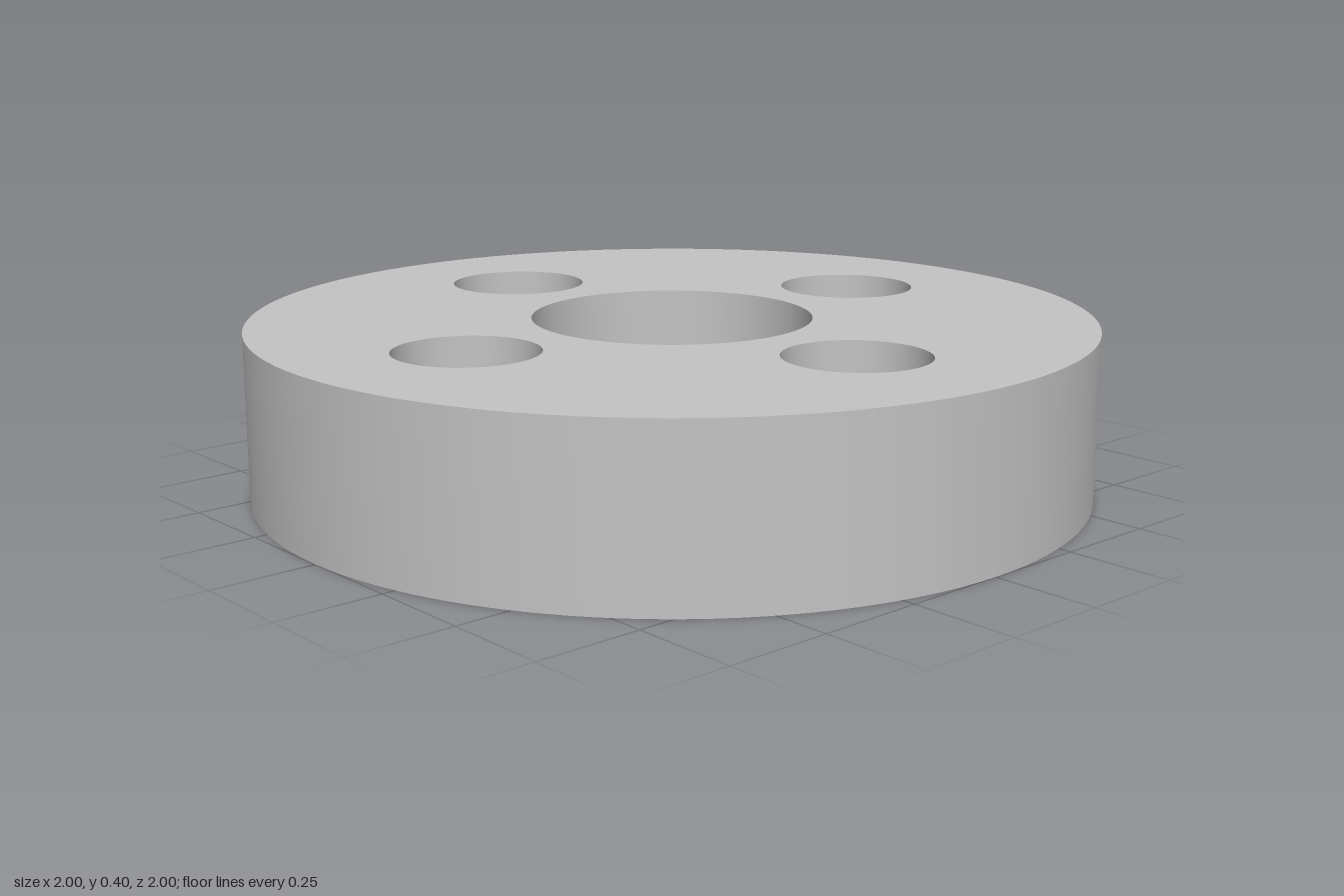
import * as THREE from 'three';

const R = 1, H = 0.4, BORE = 1 / 3;           // disc and centre bore
const PITCH = 0.6, HOLE = 1 / 6, SINK = 0.3;  // bolt holes and their 45 degree countersinks

// Points on an arc in the ground plane, Vector2 = (x, z)
function arc(r, from, to, n, cx = 0) {
  return Array.from({ length: n + 1 }, (_, i) => {
    const a = from + ((to - from) * i) / n;
    return new THREE.Vector2(cx + r * Math.cos(a), r * Math.sin(a));
  });
}
const circle = (r, n, cx = 0) => arc(r, 0, Math.PI * 2, n, cx).slice(0, -1);
const turn = (pts, k) => pts.map((p) => p.clone().rotateAround(new THREE.Vector2(), (k * Math.PI) / 2));
const lift = (pts, y) => pts.map((p) => new THREE.Vector3(p.x, y, p.y));

// Closed smooth wall between two loops; faces outward when a is below b
function wall(a, b) {
  const n = a.length, index = [];
  for (let i = 0; i < n; i++) {
    const j = (i + 1) % n;
    index.push(i, n + i, n + j, i, n + j, j);
  }
  const g = new THREE.BufferGeometry().setFromPoints([...a, ...b]);
  g.setIndex(index);
  g.computeVertexNormals();
  return g;
}

// Flat face with holes, facing up or down
function cap(outline, holes, y, up) {
  const shape = new THREE.Shape(outline);
  shape.holes = holes.map((h) => new THREE.Path(h));
  return new THREE.ShapeGeometry(shape).rotateX(up ? -Math.PI / 2 : Math.PI / 2).translate(0, y, 0);
}

export function createModel() {
  const model = new THREE.Group();
  const steel = new THREE.MeshStandardMaterial({ color: 0xc4c4c4 });
  steel.name = 'grey steel';
  const add = (name, geometry, parent = model) => {
    const mesh = new THREE.Mesh(geometry, steel);
    mesh.name = name;
    parent.add(mesh);
    return mesh;
  };

  // Half angles where a countersink breaks into the bore, seen from each centre
  const a = Math.acos((PITCH ** 2 + BORE ** 2 - SINK ** 2) / (2 * PITCH * BORE));
  const b = Math.acos((PITCH ** 2 + SINK ** 2 - BORE ** 2) / (2 * PITCH * SINK));
  const notch = arc(BORE, -a, a, 12);
  const land = arc(BORE, a, Math.PI / 2 - a, 16);
  const sinkArc = arc(SINK, -(Math.PI - b), Math.PI - b, 72, PITCH);
  const sinkHeight = (p) => Math.max(0, SINK - Math.hypot(p.x - PITCH, p.y));

  // Outer rim and flat faces
  const rim = circle(R, 128);
  add('outerRim', wall(lift(rim, 0), lift(rim, H)));
  const holes = [0, 1, 2, 3].map((k) => turn(circle(HOLE, 64, PITCH), k));
  add('topFace', cap(rim, [circle(BORE, 96), ...holes], H, true));
  const opening = [0, 1, 2, 3].flatMap((k) => turn([...sinkArc, ...land.slice(1, -1)], k));
  add('bottomFace', cap(rim, [opening], 0, false));

  // Centre bore, its lower edge notched by the four countersinks
  const low = [], high = [];
  for (let k = 0; k < 4; k++) {
    const heights = notch.map(sinkHeight);
    turn(notch, k).forEach((p, i) => low.push(new THREE.Vector3(p.x, heights[i], p.y)));
    low.push(...lift(turn(land.slice(1, -1), k), 0));
  }
  low.forEach((p) => high.push(new THREE.Vector3(p.x, H, p.z)));
  add('centreBore', wall(high, low));

  // Bolt holes with countersinks below
  const edge = [...sinkArc, ...notch.slice(1, -1).reverse()];
  const sinkRim = edge.map((p) => new THREE.Vector3(p.x, sinkHeight(p), p.y));
  const throat = edge.map((p) => {
    const d = new THREE.Vector2(p.x - PITCH, p.y).setLength(HOLE);
    return new THREE.Vector3(PITCH + d.x, SINK - HOLE, d.y);
  });
  const sinkGeometry = wall(throat, sinkRim);
  const ring = circle(HOLE, 64, PITCH);
  const holeGeometry = wall(lift(ring, H), lift(ring, SINK - HOLE));
  for (let k = 0; k < 4; k++) {
    const bolt = new THREE.Group();
    bolt.name = 'boltHole' + (k + 1);
    bolt.rotation.y = (-k * Math.PI) / 2;
    add('countersink', sinkGeometry, bolt);
    add('holeWall', holeGeometry, bolt);
    model.add(bolt);
  }
  return model;
}
